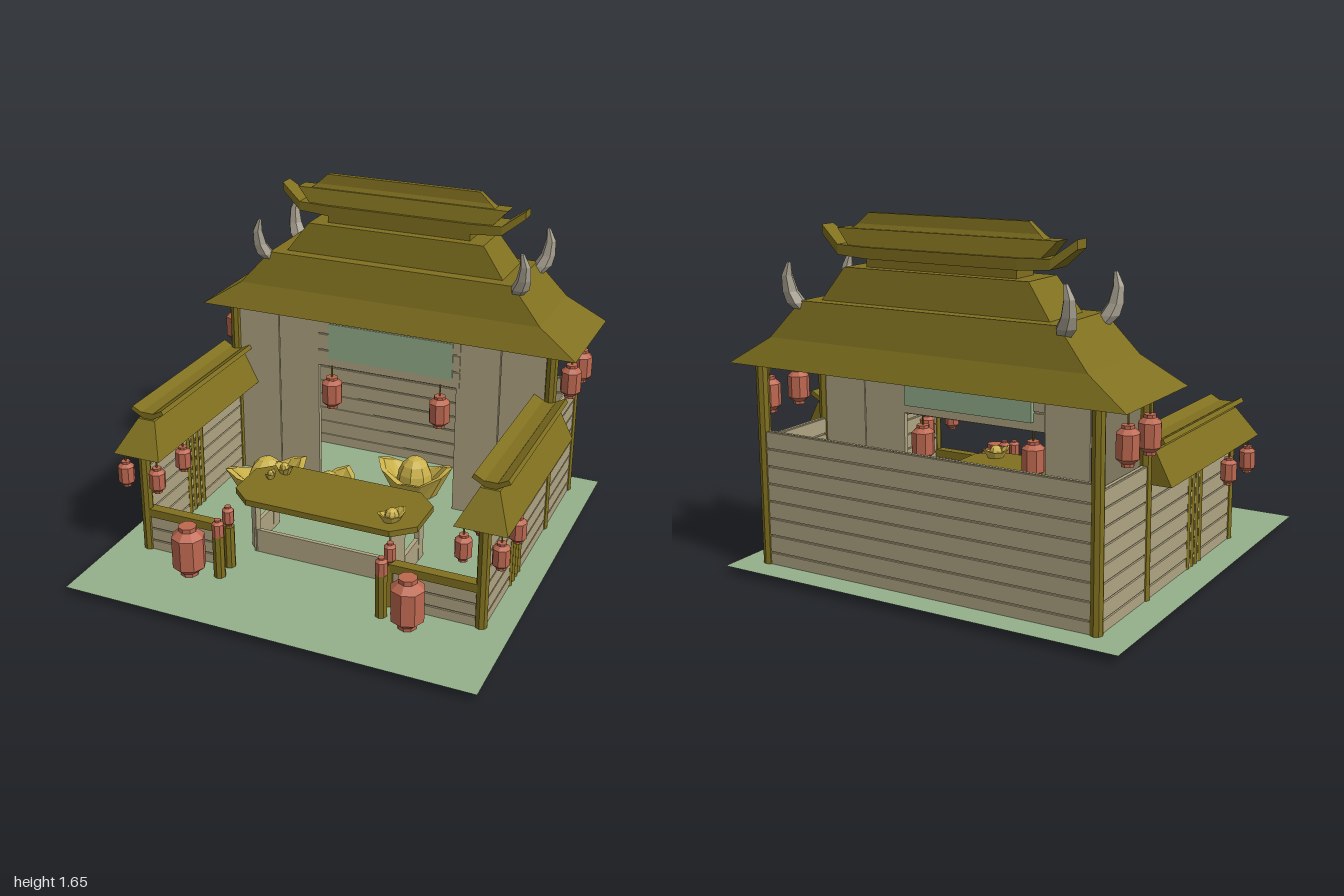
import * as THREE from 'three';

const mat = (color) => new THREE.MeshStandardMaterial({ color, flatShading: true, side: THREE.DoubleSide });
const WOOD = mat(0x80701f), PLANK = mat(0xb0a583), GREEN = mat(0x94b08b);
const RED = mat(0xbd6850), GOLD = mat(0xc9b048), HORN = mat(0xa39c8c);
const CX = 0.012; // the building sits slightly off the ground's centre line

function add(parent, name, geometry, material, x = 0, y = 0, z = 0) {
  const m = new THREE.Mesh(geometry, material);
  m.name = name;
  m.position.set(x, y, z);
  parent.add(m);
  return m;
}

// Box given by its limits
function box(parent, name, material, x0, x1, y0, y1, z0, z1) {
  return add(parent, name, new THREE.BoxGeometry(x1 - x0, y1 - y0, z1 - z0), material,
    (x0 + x1) / 2, (y0 + y1) / 2, (z0 + z1) / 2);
}

// Skin over a stack of equal rings of [x, y, z] corners, closed at both ends
function skin(rings) {
  const out = [], n = rings[0].length;
  const tri = (a, b, c) => out.push(...a, ...b, ...c);
  for (let i = 0; i < rings.length - 1; i++) {
    for (let j = 0; j < n; j++) {
      const k = (j + 1) % n, a = rings[i], b = rings[i + 1];
      tri(a[j], a[k], b[k]);
      tri(a[j], b[k], b[j]);
    }
  }
  const lo = rings[0], hi = rings[rings.length - 1];
  for (let j = 1; j < n - 1; j++) {
    tri(lo[0], lo[j + 1], lo[j]);
    tri(hi[0], hi[j], hi[j + 1]);
  }
  const g = new THREE.BufferGeometry();
  g.setAttribute('position', new THREE.Float32BufferAttribute(out, 3));
  g.computeVertexNormals();
  return g;
}

// Horizontal rectangle ring: height, half width, back and front z
const rect = (y, w, z0, z1) => [[-w, y, z1], [w, y, z1], [w, y, z0], [-w, y, z0]];
// Round ring with radii rx, rz and height given by a function of the angle
const oval = (cx, cz, rx, rz, n, yAt) => Array.from({ length: n }, (_, i) => {
  const a = i / n * Math.PI * 2;
  return [cx + rx * Math.cos(a), yAt(a), cz - rz * Math.sin(a)];
});

function post(parent, x, z, h, r = 0.029) {
  add(parent, 'post', new THREE.CylinderGeometry(r, r, h, 8), WOOD, x, h / 2, z);
}

// Eight-sided paper lantern standing on y, with an optional cord up to cordTop
function lantern(parent, x, y, z, r, h, cordTop) {
  const g = new THREE.Group();
  g.name = 'lantern';
  g.position.set(x, y, z);
  const p = [[0, 0], [0.55, 0], [0.55, 0.08], [1, 0.2], [1, 0.8], [0.55, 0.92], [0.55, 1], [0, 1]]
    .map(([a, b]) => new THREE.Vector2(a * r, b * h));
  add(g, 'lanternBody', new THREE.LatheGeometry(p, 8), RED);
  if (cordTop) box(g, 'cord', WOOD, -0.003, 0.003, h, cordTop - y, -0.003, 0.003);
  parent.add(g);
}

// Boarded wall of length len along x, centred on its origin
function boards(parent, name, len, y0, y1, x, z, turn = 0) {
  const g = new THREE.Group();
  g.name = name;
  g.position.set(x, 0, z);
  g.rotation.y = turn;
  box(g, 'core', PLANK, -len / 2, len / 2, y0, y1, -0.008, 0.008);
  const n = Math.max(1, Math.round((y1 - y0) / 0.078)), s = (y1 - y0) / n;
  for (let i = 0; i < n; i++) {
    box(g, 'plank', PLANK, -len / 2, len / 2, y0 + i * s + 0.004, y0 + (i + 1) * s - 0.004, -0.016, 0.016);
  }
  parent.add(g);
}

// Boat-shaped gold ingot: raised ends and a round dome
function ingot(parent, x, y, z, L, W, H, turn) {
  const g = new THREE.Group();
  g.name = 'ingot';
  g.position.set(x, y, z);
  g.rotation.y = turn;
  const rim = (a) => H * (0.55 + 0.45 * Math.cos(a) ** 2);
  add(g, 'ingotBoat', skin([
    oval(0, 0, L * 0.55, W * 0.6, 10, () => 0),
    oval(0, 0, L, W, 10, rim),
    oval(0, 0, L * 0.85, W * 0.82, 10, (a) => rim(a) - H * 0.03),
    oval(0, 0, L * 0.5, W * 0.6, 10, () => H * 0.45),
  ]), GOLD);
  const dome = new THREE.SphereGeometry(1, 8, 4, 0, Math.PI * 2, 0, Math.PI / 2);
  dome.scale(L * 0.48, H * 0.75, W * 0.72);
  add(g, 'ingotDome', dome, GOLD, 0, H * 0.42, 0);
  parent.add(g);
}

function mainRoof(parent) {
  const g = new THREE.Group();
  g.name = 'mainRoof';
  g.position.z = -0.637;
  const tier = (name, ...rows) => add(g, name, skin(rows.map(([y, w, d]) => rect(y, w, -d, d))), WOOD);
  tier('eaves', [0.975, 0.985, 0.292], [1.1, 0.79, 0.235], [1.27, 0.64, 0.2]);
  tier('upperRoof', [1.27, 0.57, 0.14], [1.42, 0.46, 0.118]);
  tier('ridgeBase', [1.42, 0.375, 0.07], [1.46, 0.375, 0.07]);
  tier('ridgeFlare', [1.5, 0.475, 0.06], [1.58, 0.55, 0.042]);
  tier('ridgeCap', [1.58, 0.48, 0.03], [1.6, 0.455, 0.02], [1.65, 0.4, 0.014]);
  // Upturned ridge ends
  const ends = [[0, 1.455, 1.505, 0.075], [0.38, 1.455, 1.505, 0.075], [0.53, 1.465, 1.51, 0.07], [0.637, 1.55, 1.59, 0.04]]
    .map(([x, a, b, d]) => [[x, a, d], [x, a, -d], [x, b, -d], [x, b, d]]);
  for (const turn of [0, Math.PI]) add(g, 'ridgeEnd', skin(ends), WOOD).rotation.y = turn;
  // Curved corner horns
  for (const sx of [-1, 1]) for (const sz of [-1, 1]) {
    const rows = [[0.645, 1.215, 0.165, 0.03], [0.67, 1.26, 0.19, 0.046], [0.69, 1.31, 0.205, 0.036],
      [0.697, 1.38, 0.215, 0.026], [0.682, 1.44, 0.218, 0.01]];
    add(g, 'horn', skin(rows.map(([x, y, z, r]) => oval(sx * x, sz * z, r, r, 6, () => y))), HORN);
  }
  parent.add(g);
}

function sideRoof(parent, x) {
  const g = new THREE.Group();
  g.name = 'sideRoof';
  g.position.x = x;
  add(g, 'sideEaves', skin([rect(0.55, 0.122, -0.42, 0.6), rect(0.7, 0.045, -0.42, 0.49)]), WOOD);
  box(g, 'ridgeBoard', WOOD, -0.03, 0.03, 0.69, 0.73, -0.42, 0.48);
  for (const s of [-1, 1]) {
    const wing = box(g, 'ridgeWing', WOOD, -0.046, 0.046, -0.011, 0.011, -0.42, 0.48);
    wing.position.set(s * 0.042, 0.722, 0.03);
    wing.rotation.z = s * 0.5;
  }
  parent.add(g);
}

function table(parent) {
  const g = new THREE.Group();
  g.name = 'table';
  const o = [[-0.37, 0], [0.365, 0], [0.467, 0.1], [0.467, 0.31], [0.365, 0.4], [-0.37, 0.4], [-0.47, 0.31], [-0.47, 0.1]].reverse();
  add(g, 'tableTop', skin([0.3, 0.33].map((y) => o.map(([x, z]) => [x, y, z]))), WOOD);
  box(g, 'frontPanel', PLANK, -0.35, 0.37, 0.02, 0.155, 0.34, 0.36);
  for (const s of [-1, 1]) {
    const corner = box(g, 'cornerLeg', PLANK, -0.035, 0.035, 0.02, 0.3, -0.012, 0.012);
    corner.position.x = CX + s * 0.365;
    corner.position.z = 0.33;
    corner.rotation.y = s * Math.PI / 4;
    const x = CX + s * 0.385;
    box(g, 'sidePanel', PLANK, x - 0.01, x + 0.01, 0.02, 0.155, 0.08, 0.31);
    box(g, 'backLeg', PLANK, x - 0.012, x + 0.012, 0.02, 0.3, 0.07, 0.13);
  }
  parent.add(g);
}

export function createModel() {
  const root = new THREE.Group();
  root.name = 'marketStall';
  add(root, 'ground', new THREE.PlaneGeometry(2, 2).rotateX(-Math.PI / 2), GREEN, 0, 0.035, 0);
  mainRoof(root);
  table(root);

  const hall = new THREE.Group();
  hall.name = 'building';
  hall.position.x = CX;
  root.add(hall);
  boards(hall, 'backWall', 1.69, 0.01, 0.665, 0, -0.857);
  boards(hall, 'lintel', 0.76, 0.71, 0.975, 0.01, -0.42);
  box(hall, 'signBoard', GREEN, -0.315, 0.353, 0.755, 0.945, -0.46, -0.4);

  for (const s of [-1, 1]) {
    const x = s * 0.845;
    // Posts and side walls
    post(hall, x, -0.857, 0.985);
    post(hall, x, -0.417, 0.985);
    post(hall, x, 0.528, 0.57);
    for (let i = 0; i < 4; i++) post(hall, x, 0.025 + i * 0.044, 0.56, 0.024);
    boards(hall, 'sideWall', 0.945, 0.01, 0.555, x, 0.055, Math.PI / 2);
    boards(hall, 'rearSideWall', 0.44, 0.01, 0.635, x, -0.637, Math.PI / 2);
    sideRoof(hall, x);
    // Upright panels beside the opening
    for (const [a, b] of [[0.372, 0.592], [0.597, 0.83]]) {
      box(hall, 'wallPanel', PLANK, Math.min(s * a, s * b), Math.max(s * a, s * b), 0.02, 0.98, -0.435, -0.41);
    }
    // Front fence
    const f = [s * 0.41, s * 0.84].sort((a, b) => a - b);
    box(hall, 'fenceRail', WOOD, f[0], f[1], 0.215, 0.257, 0.5, 0.55);
    boards(hall, 'fencePanel', 0.43, 0.02, 0.215, s * 0.625, 0.525);
    for (const z of [0.525, 0.625]) {
      post(hall, s * 0.408, z, 0.25);
      lantern(hall, s * 0.408, z > 0.6 ? 0.23 : 0.25, z, 0.029, 0.105);
    }
    // Lanterns
    lantern(hall, s * 0.548, 0.03, 0.662, 0.08, 0.26);
    lantern(hall, s * 0.293, 0.49, -0.4, 0.054, 0.17, 0.72);
    for (const z of [-0.53, -0.735]) lantern(hall, s * 0.912, 0.715, z, 0.051, 0.17, 0.99);
    for (const z of [0.56, 0.32]) for (const d of [-0.085, 0.085]) {
      lantern(hall, x + d, 0.37, z, 0.04, 0.13, 0.57);
    }
  }

  // Ingots on the floor and on the table
  ingot(root, -0.56, 0.02, -0.19, 0.22, 0.125, 0.19, 0.75);
  ingot(root, -0.215, 0.02, -0.21, 0.165, 0.11, 0.17, 1.3);
  ingot(root, 0.145, 0.02, -0.5, 0.2, 0.13, 0.19, 0.1);
  ingot(root, -0.32, 0.33, 0.08, 0.052, 0.034, 0.05, -0.2);
  ingot(root, -0.36, 0.33, 0.155, 0.036, 0.024, 0.036, 1.4);
  ingot(root, 0.337, 0.33, 0.3, 0.075, 0.045, 0.055, 0.9);
  return root;
}
